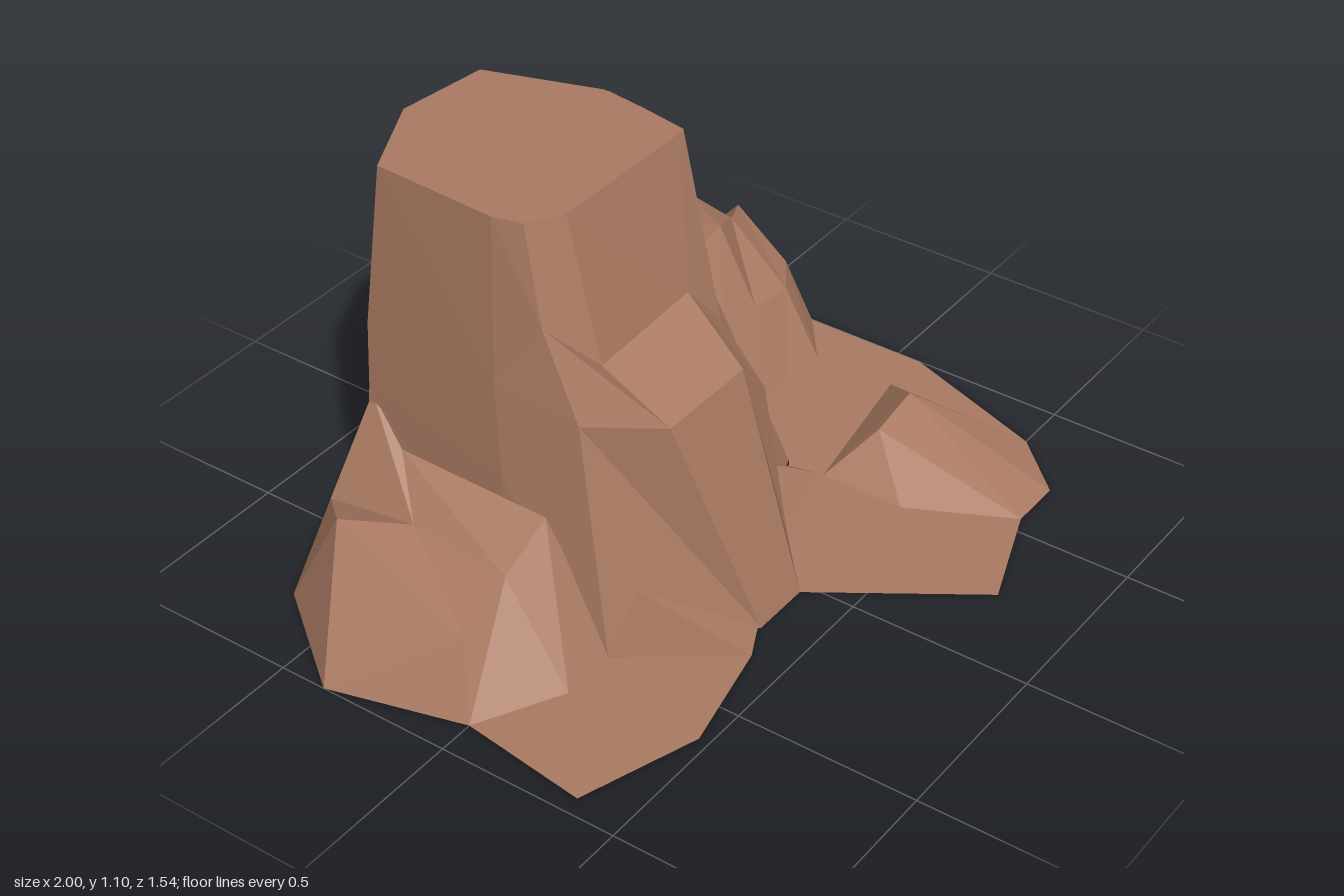
import * as THREE from 'three';
import { ConvexGeometry } from 'three/addons/geometries/ConvexGeometry.js';

const material = new THREE.MeshStandardMaterial({
  color: 0xaa7a62, flatShading: true, side: THREE.DoubleSide,
});

// Joins successive cross-sections of [x, y, z] points with flat facets
function loft(sections, closed) {
  const pos = [];
  const same = (p, q) => p.every((v, i) => v === q[i]);
  const tri = (a, b, c) => {
    if (!same(a, b) && !same(b, c) && !same(a, c)) pos.push(...a, ...b, ...c);
  };
  for (let i = 0; i + 1 < sections.length; i++) {
    const a = sections[i], b = sections[i + 1], n = a.length;
    for (let j = 0; j < (closed ? n : n - 1); j++) {
      const k = (j + 1) % n;
      tri(a[j], a[k], b[j]);
      tri(a[k], b[k], b[j]);
    }
  }
  const g = new THREE.BufferGeometry();
  g.setAttribute('position', new THREE.Float32BufferAttribute(pos, 3));
  g.computeVertexNormals();
  return g;
}

// Flat ground sheet from an [x, z] outline
function sheet(outline) {
  const shape = new THREE.Shape(outline.map(([x, z]) => new THREE.Vector2(x, -z)));
  return new THREE.ShapeGeometry(shape).rotateX(-Math.PI / 2);
}

// Solid faceted lump around a few points
function lump(points) {
  return new ConvexGeometry(points.map((p) => new THREE.Vector3(...p)));
}

export function createModel() {
  const group = new THREE.Group();
  const add = (name, geometry) => {
    const mesh = new THREE.Mesh(geometry, material);
    mesh.name = name;
    group.add(mesh);
  };

  // Trunk: rings run back left, back, right, front, left
  const top = [[-0.42, -0.61], [-0.18, -0.73], [0.08, -0.7], [0.085, -0.685], [0.18, -0.39],
    [0.18, -0.37], [0.165, -0.26], [0.14, -0.12], [0.135, -0.115], [0.12, -0.115],
    [-0.33, -0.115], [-0.42, -0.17], [-0.44, -0.25]]
    .map(([x, z]) => [x, 1.1, z]);
  const shoulder = [[-0.45, 0.65, -0.65], [-0.04, 0.67, -0.77], [0.12, 0.67, -0.755],
    [0.13, 0.66, -0.74], [0.25, 0.6, -0.5], [0.32, 0.57, -0.36], [0.27, 0.71, -0.23],
    [0.2, 0.5, -0.04], [0.13, 0.6, 0.0], [0.02, 0.73, -0.02], [-0.33, 0.71, -0.02],
    [-0.44, 0.84, -0.11], [-0.48, 0.65, -0.23]];
  const buttress = [[-0.46, 0.47, -0.65], [-0.3, 0.34, -0.69], [0.1, 0.54, -0.73],
    [0.29, 0.6, -0.68], [0.38, 0.57, -0.53], [0.41, 0.44, -0.38], [0.38, 0.53, -0.23],
    [0.17, 0.28, 0.04], [0.08, 0.49, 0.17], [-0.03, 0.61, 0.18], [-0.33, 0.61, 0.18],
    [-0.45, 0.61, 0.0], [-0.5, 0.4, -0.2]];
  const base = [[-0.5, -0.66], [-0.3, -0.66], [0.1, -0.66], [0.36, -0.655], [0.43, -0.5],
    [0.44, -0.17], [0.41, 0.03], [0.17, 0.1], [0.15, 0.2], [-0.03, 0.36], [-0.2, 0.36],
    [-0.51, 0.12], [-0.52, -0.2]]
    .map(([x, z]) => [x, 0, z]);
  const centre = [-0.13, 1.1, -0.4];
  add('trunk', loft([top.map(() => centre), top, shoulder, buttress, base], true));

  // Root mounds: arches from back to front, stepping along x
  const tip = [-1, 0, -0.37];
  add('rightRootMound', loft([
    [tip, tip, tip, tip, tip],
    [[-0.78, 0, -0.66], [-0.78, 0.01, -0.66], [-0.75, 0.29, -0.52], [-0.82, 0.18, -0.07], [-0.9, 0, 0]],
    [[-0.62, 0, -0.66], [-0.62, 0.21, -0.66], [-0.63, 0.26, -0.38], [-0.66, 0.26, -0.07], [-0.67, 0, 0.12]],
    [[-0.44, 0, -0.66], [-0.45, 0.44, -0.65], [-0.51, 0.36, -0.51], [-0.5, 0.34, -0.07], [-0.48, 0, 0.12]],
  ], false));
  const corner = [1, 0, -0.29];
  add('leftRootMound', loft([
    [[0.3, 0, -0.66], [0.3, 0.38, -0.67], [0.4, 0.44, -0.38], [0.42, 0.22, -0.28], [0.42, 0, -0.17]],
    [[0.55, 0, -0.66], [0.55, 0.37, -0.66], [0.54, 0.4, -0.4], [0.55, 0.2, -0.28], [0.55, 0, -0.17]],
    [[0.7, 0, -0.65], [0.7, 0.38, -0.65], [0.7, 0.43, -0.4], [0.7, 0.21, -0.28], [0.7, 0, -0.17]],
    [[0.85, 0, -0.63], [0.85, 0.385, -0.63], [0.84, 0.36, -0.46], [0.85, 0.19, -0.28], [0.85, 0, -0.17]],
    [[0.96, 0, -0.62], [0.96, 0.21, -0.62], [0.96, 0.32, -0.52], [0.965, 0.19, -0.36], corner],
    [corner, corner, corner, corner, corner],
  ], false));

  // Ground sheets spreading forward from the roots
  add('leftGround', sheet([[1, -0.29], [1, 0.07], [0.85, 0.5], [0.7, 0.66], [0.55, 0.66],
    [0.25, 0.77], [-0.03, 0.36], [0.15, 0.2], [0.41, 0.03], [0.44, -0.17], [0.85, -0.17]]));
  add('rightGround', sheet([[-0.9, 0], [-0.95, 0.36], [-0.62, 0.47], [-0.3, 0.4],
    [-0.51, 0.12], [-0.67, 0.12]]));

  // Low bump on the left ground
  add('groundBump', lump([[0.41, 0, 0.14], [0.41, 0, 0.38], [0.55, 0.1, 0.22], [0.7, 0.13, 0.22],
    [0.85, 0.01, 0.07], [0.85, 0, 0.5], [0.7, 0, 0.66], [0.55, 0, 0.66]]));

  // Small wedges where the front root meets the ground on each side
  add('leftRootWedge', lump([[0.16, 0.17, 0.05], [0.41, 0, 0.13], [0.15, 0, 0.2], [0.38, 0, 0]]));
  add('rightRootWedge', lump([[-0.44, 0.18, 0.16], [-0.3, 0, 0.4], [-0.51, 0, 0.12],
    [-0.2, 0, 0.35], [-0.4, 0, 0.1]]));

  return group;
}
